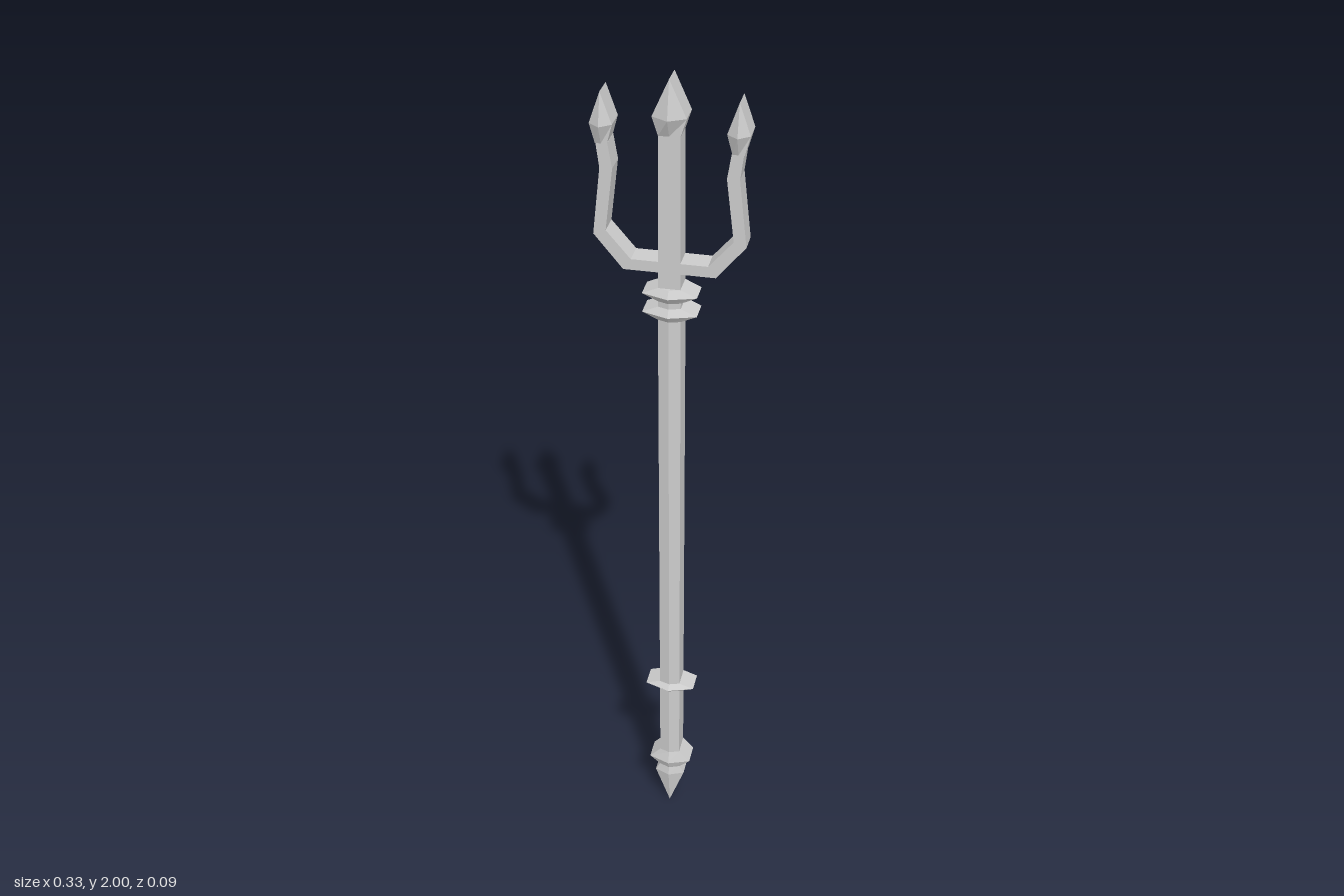
import * as THREE from 'three';

const material = new THREE.MeshStandardMaterial({ color: 0xcccccc, flatShading: true, side: THREE.DoubleSide });
const EDGE = 0.026; // half depth of the flat sides

function addMesh(group, name, geometry) {
  const mesh = new THREE.Mesh(geometry, material);
  mesh.name = name;
  group.add(mesh);
  return mesh;
}

// Stack of six-sided sections: [y, half width, depth of front/back ridge]
function loft(rings, cx = 0) {
  const pos = [], idx = [];
  for (const [y, w, ridge] of rings) {
    for (const [x, z] of [[w, EDGE], [w, -EDGE], [0, -ridge], [-w, -EDGE], [-w, EDGE], [0, ridge]]) {
      pos.push(cx + x, y, z);
    }
  }
  for (let r = 0; r < rings.length - 1; r++) {
    for (let i = 0; i < 6; i++) {
      const a = r * 6 + i, b = r * 6 + (i + 1) % 6;
      idx.push(a, b, b + 6, a, b + 6, a + 6);
    }
  }
  // end caps
  const top = (rings.length - 1) * 6;
  for (let i = 1; i < 5; i++) idx.push(0, i + 1, i, top, top + i, top + i + 1);
  const g = new THREE.BufferGeometry();
  g.setAttribute('position', new THREE.Float32BufferAttribute(pos, 3));
  g.setIndex(idx);
  g.computeVertexNormals();
  return g;
}

// Flat outline given depth, centred on z = 0
function plate(points) {
  const shape = new THREE.Shape(points.map(([x, y]) => new THREE.Vector2(x, y)));
  return new THREE.ExtrudeGeometry(shape, { depth: 2 * EDGE, bevelEnabled: false }).translate(0, 0, -EDGE);
}

export function createModel() {
  const model = new THREE.Group();
  model.name = 'trident';

  // Shaft
  addMesh(model, 'shaft', loft([[0.12, 0.025, 0.034], [1.535, 0.025, 0.034]]));

  // Pointed collars around the shaft
  for (const [y, half] of [[0.405, 0.012], [1.475, 0.016], [1.52, 0.016]]) {
    addMesh(model, 'collar', loft([[y - half, 0.025, 0.034], [y, 0.06, 0.046], [y + half, 0.025, 0.034]]));
  }

  // Pommel with its flared guard and lower spike
  addMesh(model, 'pommel', loft([
    [0, 0, EDGE], [0.105, 0.037, 0.041], [0.127, 0.026, 0.036],
    [0.15, 0.052, 0.045], [0.18, 0.025, 0.034],
  ]));

  // Central prong and blade
  addMesh(model, 'centralProng', loft([[1.53, 0.024, EDGE], [1.89, 0.023, EDGE]]));
  addMesh(model, 'centralBlade', loft([[1.88, 0.023, EDGE], [1.92, 0.036, 0.046], [2, 0, EDGE]]));

  // Mirrored side prongs with their blades
  for (const s of [1, -1]) {
    const side = s > 0 ? 'left' : 'right';
    const outline = [
      [0, 1.573], [0.1, 1.573], [0.163, 1.65], [0.146, 1.8], [0.153, 1.855],
      [0.128, 1.855], [0.119, 1.8], [0.136, 1.66], [0.083, 1.598], [0, 1.598],
    ];
    addMesh(model, side + 'Prong', plate(outline.map(([x, y]) => [s * x, y])));
    addMesh(model, side + 'Blade', loft([[1.853, 0.0125, EDGE], [1.895, 0.024, 0.045], [1.963, 0, EDGE]], s * 0.1415));
  }

  return model;
}
